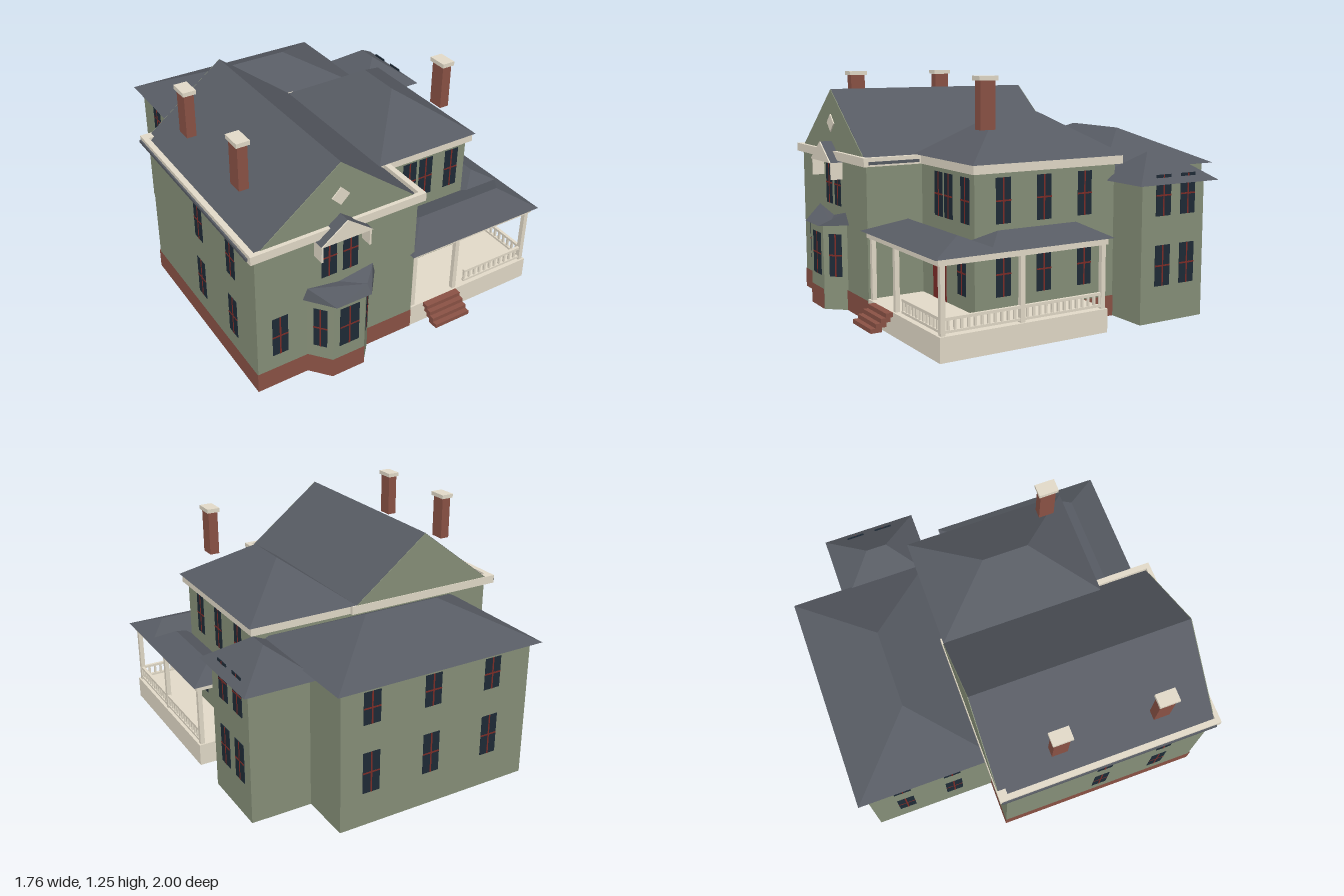
import * as THREE from 'three';
import { ConvexGeometry } from 'three/addons/geometries/ConvexGeometry.js';

const mat = (name, color, extra = {}) => {
  const m = new THREE.MeshStandardMaterial({ color, ...extra });
  m.name = name;
  return m;
};

export function createModel() {
  const wall = mat('sage wall', 0x868f78, { side: THREE.DoubleSide });
  const trim = mat('cream trim', 0xe2dac8);
  const brick = mat('brick', 0x8a5245, { side: THREE.DoubleSide });
  const slate = mat('slate roof', 0x575b63, { side: THREE.DoubleSide });
  const glass = mat('dark glass', 0x1e2a36);
  const red = mat('red paint', 0x7c2c27);

  const house = new THREE.Group();
  house.name = 'house';

  const add = (name, geo, material, parent = house) => {
    const m = new THREE.Mesh(geo, material);
    m.name = name;
    parent.add(m);
    return m;
  };
  // Box given by its limits on each axis
  const box = (name, material, x0, x1, y0, y1, z0, z1, parent) => {
    const m = add(name, new THREE.BoxGeometry(x1 - x0, y1 - y0, z1 - z0), material, parent);
    m.position.set((x0 + x1) / 2, (y0 + y1) / 2, (z0 + z1) / 2);
    return m;
  };
  // Flat-shaded surface from a list of triangle corners
  const surface = (name, material, corners) => {
    const g = new THREE.BufferGeometry();
    g.setAttribute('position', new THREE.Float32BufferAttribute(corners.flat(), 3));
    g.computeVertexNormals();
    return add(name, g, material);
  };
  // Open-bottomed upright walls along a plan path
  const shell = (name, material, plan, y0, y1) =>
    surface(name, material, plan.slice(1).flatMap(([bx, bz], i) => {
      const [ax, az] = plan[i];
      const a = [ax, y0, az], b = [bx, y0, bz], c = [bx, y1, bz], d = [ax, y1, az];
      return [a, b, c, a, c, d];
    }));
  const hull = (name, material, pts) =>
    add(name, new ConvexGeometry(pts.map((p) => new THREE.Vector3(...p))), material);
  // Hipped roof: eave rectangle plus the two ends of the ridge
  const hip = (name, x0, x1, z0, z1, y, top, [ax, az], [bx, bz]) =>
    hull(name, slate, [
      [x0, y, z0], [x1, y, z0], [x1, y, z1], [x0, y, z1], [ax, top, az], [bx, top, bz],
    ]);
  // Triangular prism running along z
  const gable = (name, material, x0, x1, y, top, z0, z1) =>
    hull(name, material, [z0, z1].flatMap((z) => [[x0, y, z], [x1, y, z], [(x0 + x1) / 2, top, z]]));
  // Sash window with cross bars, facing direction ry
  const sash = (x, z, ry, y0, y1, w = 0.085) => {
    const g = new THREE.Group();
    g.name = 'window';
    const h = y1 - y0;
    box('windowGlass', glass, -w / 2, w / 2, -h / 2, h / 2, -0.002, 0.002, g);
    box('uprightBar', red, -0.004, 0.004, -h / 2, h / 2, 0.001, 0.0035, g);
    box('crossBar', red, -w / 2, w / 2, -0.004, 0.004, 0.001, 0.0035, g);
    g.position.set(x, (y0 + y1) / 2, z);
    g.rotation.y = ry;
    house.add(g);
  };
  const R = Math.PI / 2;

  // Walls of the gabled block and the front right wing
  shell('mainWalls', wall,
    [[-0.84, 0.87], [0.06, 0.87], [0.06, 0.56], [0.605, 0.56], [0.605, -0.27], [-0.84, -0.27], [-0.84, 0.87]], 0, 0.822);
  shell('mainFoundation', brick,
    [[0.605, -0.055], [0.609, -0.055], [0.609, -0.274], [-0.844, -0.274], [-0.844, 0.874], [0.06, 0.874]], 0, 0.11);

  // Main gabled roof and its cornice
  gable('mainRoof', slate, -0.84, 0.06, 0.822, 1.17, -0.31, 0.87);
  for (const z of [-0.314, 0.87]) gable('gableWall', wall, -0.835, 0.055, 0.824, 1.168, z, z + 0.004);
  box('leftCornice', trim, -0.87, -0.84, 0.8, 0.845, -0.31, 0.895);
  box('frontCornice', trim, -0.87, 0.09, 0.8, 0.845, 0.87, 0.895);
  box('rightCornice', trim, 0.06, 0.09, 0.8, 0.845, 0.57, 0.895);
  box('backCornice', trim, -0.87, 0.06, 0.8, 0.845, -0.318, -0.27);
  box('leftEaveEdge', slate, -0.879, -0.869, 0.81, 0.825, -0.31, 0.87);
  box('rightEaveEdge', slate, 0.089, 0.096, 0.81, 0.825, 0.59, 0.87);
  const diamond = box('gableDiamond', trim, -0.424, -0.356, 0.956, 1.024, 0.872, 0.88);
  diamond.rotation.z = Math.PI / 4;

  // Wing roof
  box('wingCornice', trim, 0.05, 0.632, 0.8, 0.845, -0.3, 0.58);
  hip('wingRoof', 0.03, 0.645, -0.31, 0.59, 0.845, 1.06, [0.32, 0.02], [0.32, 0.27]);

  // Rear block and side block
  shell('rearWalls', wall, [[-0.59, -0.27], [-0.59, -0.955], [0.51, -0.955], [0.51, -0.67]], 0, 0.757);
  shell('sideWalls', wall, [[0.51, -0.67], [0.835, -0.67], [0.835, -0.265], [0.605, -0.265]], 0, 0.72);
  hip('rearRoof', -0.63, 0.55, -1, -0.24, 0.755, 0.94, [-0.25, -0.62], [0.17, -0.62]);
  hip('sideRoof', 0.48, 0.88, -0.73, -0.22, 0.715, 0.86, [0.68, -0.53], [0.68, -0.42]);

  // Windows
  const low = [0.19, 0.415], high = [0.55, 0.775];
  sash(-0.715, 0.87, 0, ...low);
  for (const x of [-0.445, -0.325]) sash(x, 0.87, 0, ...high);
  for (const x of [0.245, 0.348, 0.515]) sash(x, 0.56, 0, ...high);
  sash(0.478, 0.56, 0, ...low);
  for (const row of [low, high]) for (const z of [0.4, 0.165, -0.08]) sash(0.605, z, R, ...row);
  for (const row of [low, high]) for (const z of [0.29, 0.63]) sash(-0.84, z, -R, ...row);
  for (const row of [[0.18, 0.4], [0.55, 0.72]]) {
    for (const x of [0.34, -0.005, -0.36]) sash(x, -0.955, Math.PI, ...row, 0.095);
    for (const z of [-0.77, -0.49]) sash(-0.59, z, -R, ...row, 0.095);
  }
  for (const row of [[0.19, 0.4], [0.55, 0.76]])
    for (const z of [-0.4, -0.56]) sash(0.838, z, R, ...row, 0.095);

  // Front door
  box('frontDoor', red, 0.18, 0.32, 0.12, 0.41, 0.557, 0.563);

  // Bay window with its folded roof
  shell('bayWalls', wall, [[-0.565, 0.87], [-0.48, 0.97], [-0.298, 0.97], [-0.21, 0.87]], 0, 0.458);
  shell('bayFoundation', brick, [[-0.569, 0.87], [-0.482, 0.973], [-0.298, 0.973]], 0, 0.11);
  sash(-0.388, 0.97, 0, 0.18, 0.41, 0.11);
  sash(-0.5225, 0.92, -0.866, 0.18, 0.41, 0.07);
  sash(-0.254, 0.92, 0.85, 0.18, 0.41, 0.07);
  const p = [
    [-0.59, 0.463, 0.87], [-0.48, 0.457, 1], [-0.285, 0.457, 1], [-0.18, 0.463, 0.87],
    [-0.57, 0.53, 0.88], [-0.27, 0.472, 0.94], [-0.2, 0.53, 0.88], [-0.388, 0.49, 0.87],
  ];
  const faces = [0, 1, 4, 1, 5, 4, 1, 2, 5, 2, 6, 5, 2, 3, 6, 4, 5, 7, 5, 6, 7, 0, 3, 1, 1, 3, 2];
  surface('bayRoof', slate, faces.map((i) => p[i]));

  // Small gabled hood over the upper front windows
  gable('hoodRoof', slate, -0.53, -0.25, 0.79, 0.893, 0.87, 0.936);
  gable('hoodFace', trim, -0.53, -0.25, 0.79, 0.893, 0.936, 0.942);
  for (const x of [-0.522, -0.258])
    box('hoodBracket', trim, x - 0.005, x + 0.005, 0.7, 0.792, 0.87, 0.935);

  // Wraparound porch
  box('porchFrontBase', trim, 0.06, 0.84, 0, 0.12, 0.56, 0.872);
  box('porchSideBase', trim, 0.605, 0.84, 0, 0.12, -0.055, 0.56);
  for (const [x, z] of [[0.08, 0.85], [0.35, 0.85], [0.818, 0.85], [0.818, 0.43], [0.818, -0.035]])
    box('porchPost', trim, x - 0.012, x + 0.012, 0.12, 0.45, z - 0.012, z + 0.012);
  box('porchFrontBeam', trim, 0.06, 0.835, 0.44, 0.474, 0.835, 0.875);
  box('porchSideBeam', trim, 0.797, 0.838, 0.44, 0.474, -0.055, 0.875);
  box('porchBackBeam', trim, 0.605, 0.838, 0.44, 0.474, -0.055, -0.025);
  hip('porchFrontRoof', 0.035, 0.86, 0.54, 0.9, 0.473, 0.545, [0.21, 0.715], [0.72, 0.715]);
  hip('porchSideRoof', 0.59, 0.86, -0.08, 0.62, 0.473, 0.545, [0.72, 0.055], [0.72, 0.5]);

  // Railings
  for (const [y0, y1] of [[0.13, 0.142], [0.188, 0.202]]) {
    box('frontRail', trim, 0.42, 0.83, y0, y1, 0.842, 0.858);
    box('sideRail', trim, 0.812, 0.828, y0, y1, -0.045, 0.85);
  }
  for (let i = 0; i <= 11; i++) {
    const x = 0.427 + i * 0.035;
    box('frontBaluster', trim, x - 0.006, x + 0.006, 0.14, 0.19, 0.845, 0.855);
  }
  for (let i = 0; i < 25; i++) {
    const z = -0.02 + i * 0.035;
    box('sideBaluster', trim, 0.815, 0.825, 0.14, 0.19, z - 0.006, z + 0.006);
  }

  // Porch steps
  for (let i = 0; i < 4; i++)
    box('porchStep', brick, 0.14, 0.355, 0.098 - i * 0.022, 0.12 - i * 0.022, 0.865 + i * 0.022, 0.91 + i * 0.027);

  // Chimneys
  for (const [x, z] of [[-0.745, 0.575], [-0.745, 0.03], [0.505, 0.44]]) {
    box('chimney', brick, x - 0.026, x + 0.026, 0.997, 1.235, z - 0.042, z + 0.042);
    box('chimneyCap', trim, x - 0.035, x + 0.035, 1.233, 1.255, z - 0.053, z + 0.053);
  }
  return house;
}
